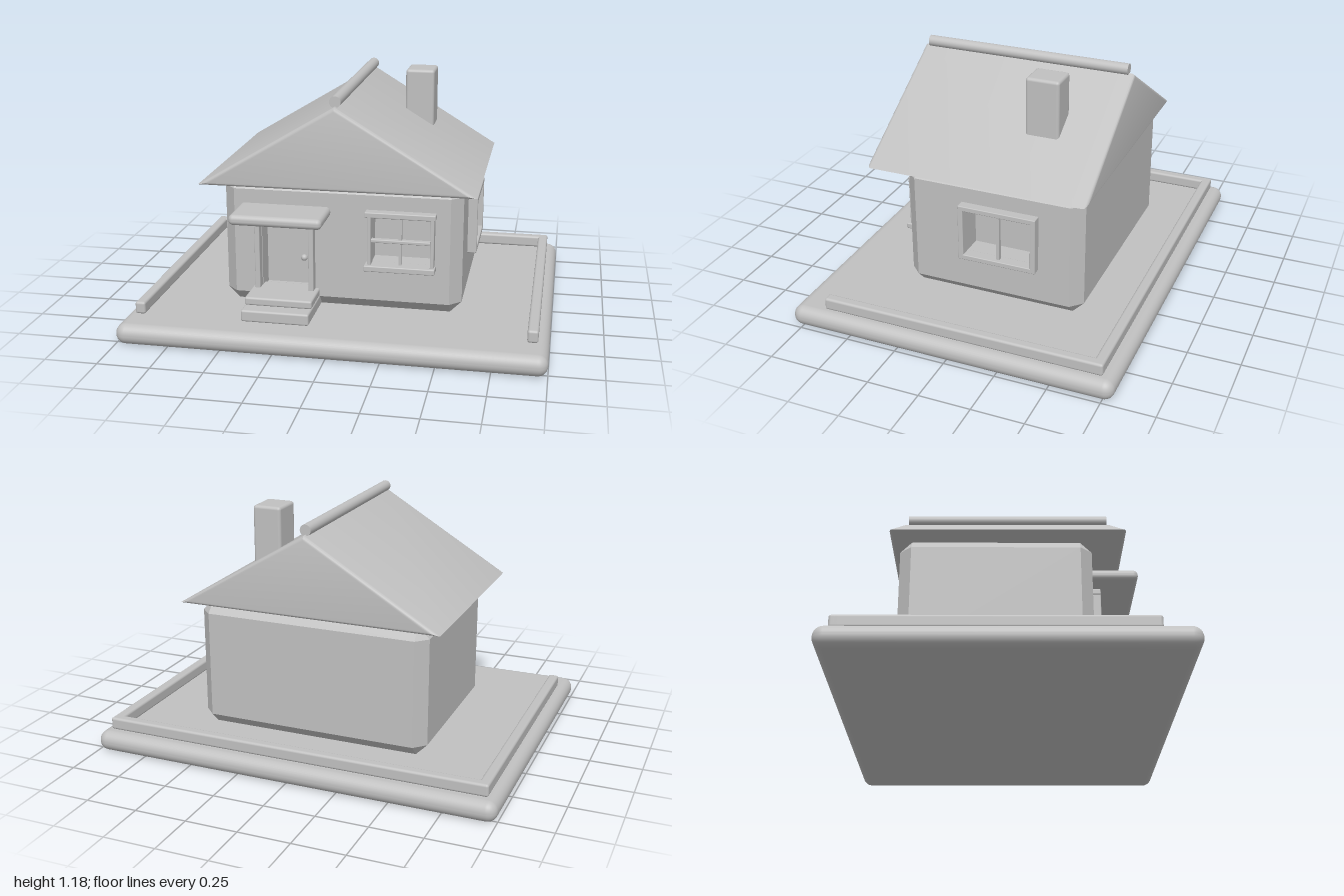
import * as THREE from 'three';
import { toCreasedNormals } from 'three/addons/utils/BufferGeometryUtils.js';
import { RoundedBoxGeometry } from 'three/addons/geometries/RoundedBoxGeometry.js';
import { ConvexGeometry } from 'three/addons/geometries/ConvexGeometry.js';

const grey = new THREE.MeshStandardMaterial({ color: 0xc0c0c0 });
grey.name = 'plain grey';

const WALL = 0.1; // depth of the door and window recesses

function add(parent, name, geometry) {
  const mesh = new THREE.Mesh(geometry, grey);
  mesh.name = name;
  parent.add(mesh);
  return mesh;
}

// Box given by its limits on each axis, rounded when r > 0
function block(parent, name, [x0, x1], [y0, y1], [z0, z1], r = 0) {
  const w = x1 - x0, h = y1 - y0, d = z1 - z0;
  const geo = r ? new RoundedBoxGeometry(w, h, d, 4, r) : new THREE.BoxGeometry(w, h, d);
  add(parent, name, geo).position.set((x0 + x1) / 2, (y0 + y1) / 2, (z0 + z1) / 2);
}

// Chamfered house shell, left open where the pierced wall panels fit
function shellGeometry([x0, x1], [y0, y1], [z0, z1], c) {
  const points = [];
  for (const [x, sx] of [[x0, 1], [x1, -1]])
    for (const [y, sy] of [[y0, 1], [y1, -1]])
      for (const [z, sz] of [[z0, 1], [z1, -1]])
        points.push(
          new THREE.Vector3(x, y + sy * c, z + sz * c),
          new THREE.Vector3(x + sx * c, y, z + sz * c),
          new THREE.Vector3(x + sx * c, y + sy * c, z));
  const hull = new ConvexGeometry(points);
  const p = hull.attributes.position, n = hull.attributes.normal;
  const kept = [];
  for (let i = 0; i < p.count; i += 3) {
    if (n.getX(i) > 0.99 || n.getZ(i) > 0.99) continue;
    for (let j = i; j < i + 3; j++) kept.push(p.getX(j), p.getY(j), p.getZ(j));
  }
  const geo = new THREE.BufferGeometry();
  geo.setAttribute('position', new THREE.Float32BufferAttribute(kept, 3));
  geo.computeVertexNormals();
  return geo;
}

function rectangle(path, [u0, u1], [v0, v1]) {
  return path.moveTo(u0, v0).lineTo(u1, v0).lineTo(u1, v1).lineTo(u0, v1).closePath();
}

// Wall with openings, its outer face on local z = 0, and a panel closing each recess
function piercedWall(parent, u, v, openings) {
  const shape = rectangle(new THREE.Shape(), u, v);
  for (const o of openings) {
    shape.holes.push(rectangle(new THREE.Path(), o.u, o.v));
    const grow = ([a, b]) => [a - 0.01, b + 0.01];
    block(parent, o.name, grow(o.u), grow(o.v), [-WALL - 0.01, -WALL]);
  }
  const geo = new THREE.ExtrudeGeometry(shape, { depth: WALL, bevelEnabled: false });
  geo.translate(0, 0, -WALL);
  add(parent, 'wallPanel', geo);
}

export function createModel() {
  const model = new THREE.Group();
  model.name = 'cottage';

  // Ground slab and low border on three sides
  block(model, 'groundSlab', [-1, 1], [0, 0.1], [-0.8, 0.8], 0.048);
  for (const s of [-1, 1])
    block(model, 'sideBorder', [s * 0.925 - 0.025, s * 0.925 + 0.025], [0.1, 0.16], [-0.73, 0.64], 0.012);
  block(model, 'backBorder', [-0.95, 0.95], [0.1, 0.16], [-0.74, -0.69], 0.012);

  // House body
  add(model, 'houseShell', shellGeometry([-0.575, 0.575], [0.1, 0.73], [-0.5, 0.39], 0.055));

  // Front wall with door and window
  const front = new THREE.Group();
  front.name = 'frontWall';
  front.position.z = 0.39;
  model.add(front);
  piercedWall(front, [-0.52, 0.52], [0.155, 0.675], [
    { name: 'door', u: [-0.385, -0.15], v: [0.18, 0.515] },
    { name: 'frontPane', u: [0.148, 0.435], v: [0.347, 0.58] },
  ]);
  const out = [-0.01, 0.045];
  for (const x of [-0.4, -0.138])
    block(front, 'doorPost', [x - 0.0125, x + 0.0125], [0.17, 0.52], out, 0.004);
  block(front, 'doorLintel', [-0.417, -0.123], [0.513, 0.54], out, 0.004);
  add(front, 'doorKnob', new THREE.SphereGeometry(0.016, 16, 12)).position.set(-0.2, 0.315, -WALL + 0.012);

  for (const x of [0.142, 0.44])
    block(front, 'windowPost', [x - 0.009, x + 0.009], [0.34, 0.59], out, 0.004);
  block(front, 'windowHead', [0.12, 0.455], [0.578, 0.605], out, 0.005);
  block(front, 'windowSill', [0.12, 0.455], [0.32, 0.348], [-0.01, 0.065], 0.005);
  block(front, 'windowMullion', [0.281, 0.295], [0.34, 0.585], [0.005, 0.025]);
  block(front, 'windowCrossbar', [0.145, 0.437], [0.455, 0.471], [0.005, 0.035], 0.004);

  // Side wall with window; local u runs towards the back
  const side = new THREE.Group();
  side.name = 'leftWall';
  side.position.x = 0.575;
  side.rotation.y = Math.PI / 2;
  model.add(side);
  piercedWall(side, [-0.335, 0.445], [0.155, 0.675], [
    { name: 'sidePane', u: [-0.07, 0.266], v: [0.344, 0.576] },
  ]);
  for (const u of [-0.0825, 0.2785])
    block(side, 'windowPost', [u - 0.0125, u + 0.0125], [0.33, 0.59], out, 0.004);
  for (const y of [0.332, 0.588])
    block(side, 'windowRail', [-0.095, 0.291], [y - 0.0125, y + 0.0125], out, 0.004);
  block(side, 'windowMullion', [0.09, 0.106], [0.34, 0.58], [0.005, 0.025]);

  // Porch canopy and steps
  block(model, 'canopy', [-0.49, -0.05], [0.557, 0.607], [0.37, 0.605], 0.022);
  block(model, 'upperStep', [-0.43, -0.105], [0.155, 0.195], [0.34, 0.57], 0.01);
  block(model, 'lowerStep', [-0.43, -0.105], [0.1, 0.157], [0.34, 0.64], 0.01);

  // Gabled roof with softly rounded gable edges
  const roofPoints = [];
  const r = 0.018;
  for (let i = 0; i <= 4; i++) {
    const a = (i / 4) * Math.PI / 2;
    const inset = r * (1 - Math.cos(a)), z = 0.545 - r + r * Math.sin(a);
    for (const s of [-1, 1])
      roofPoints.push(
        new THREE.Vector3(-0.65 + inset * 3.6, 0.727 + inset, s * z),
        new THREE.Vector3(0.65 - inset * 3.6, 0.727 + inset, s * z),
        new THREE.Vector3(0, 1.12 - inset * 1.17, s * z));
  }
  add(model, 'roof', toCreasedNormals(new ConvexGeometry(roofPoints), 0.5));

  // Ridge pole and chimney
  const ridge = add(model, 'ridgePole', new THREE.CylinderGeometry(0.027, 0.027, 1.03, 24));
  ridge.rotation.x = Math.PI / 2;
  ridge.position.y = 1.139;
  block(model, 'chimney', [0.225, 0.368], [0.8, 1.177], [-0.305, -0.14], 0.015);

  return model;
}
